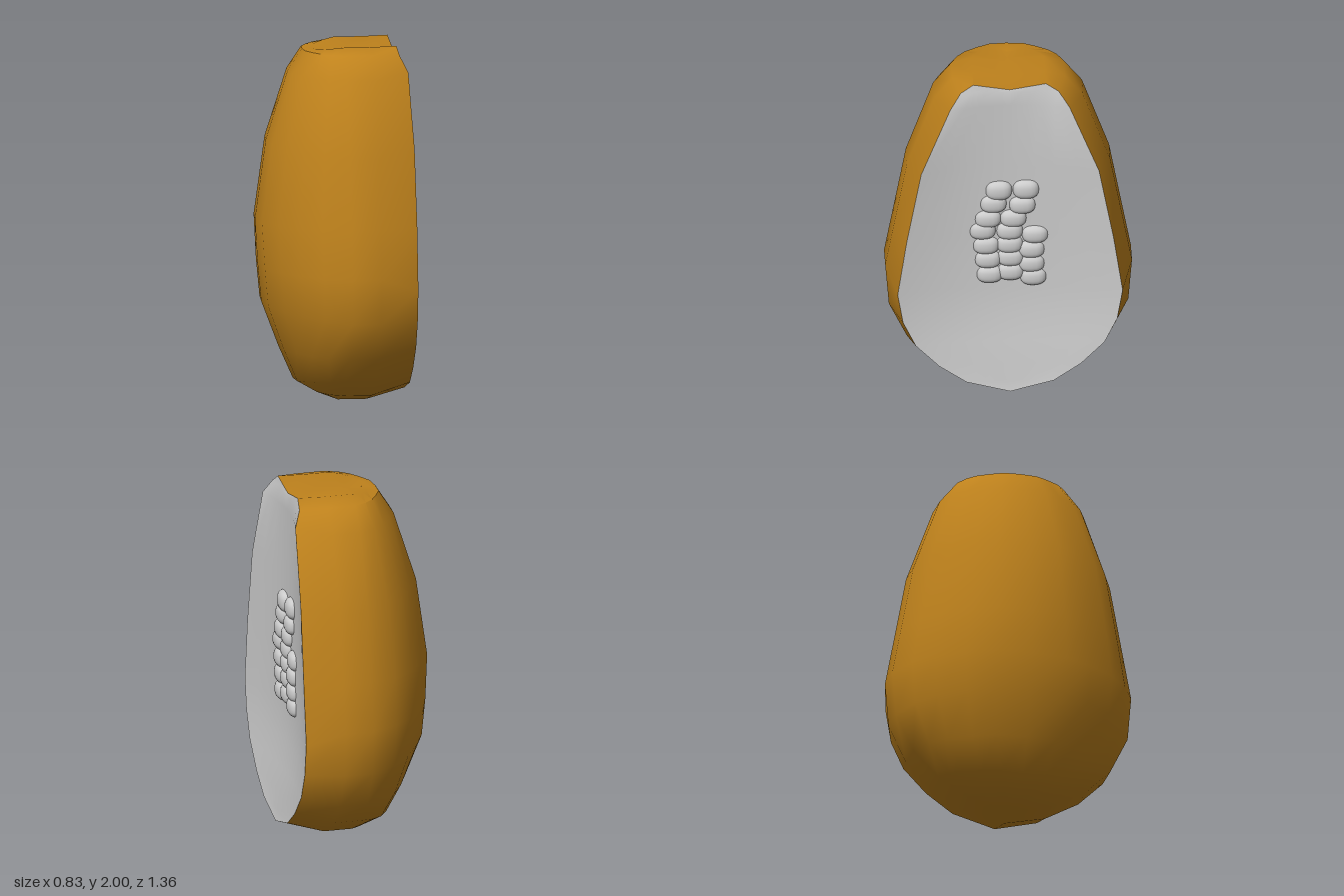
import * as THREE from 'three';
import { toCreasedNormals } from 'three/addons/utils/BufferGeometryUtils.js';

// Levels from bottom to top:
// [widest z, widest y, cut z, cut y, cut x, back x, back y, hollow depth]
const LEVELS = [
  [0, 0.005, 0, 0.065, 0.41, 0.04, 0.005, 0],
  [0.23, 0.06, 0.24, 0.13, 0.41, -0.09, 0.06, 0.01],
  [0.42, 0.17, 0.39, 0.235, 0.41, -0.21, 0.13, 0.02],
  [0.56, 0.31, 0.52, 0.37, 0.41, -0.29, 0.31, 0.04],
  [0.66, 0.52, 0.59, 0.52, 0.41, -0.385, 0.56, 0.06],
  [0.68, 0.77, 0.62, 0.70, 0.41, -0.405, 0.77, 0.07],
  [0.63, 1.04, 0.57, 1.04, 0.41, -0.42, 1.02, 0.07],
  [0.56, 1.42, 0.49, 1.47, 0.405, -0.36, 1.46, 0.065],
  [0.41, 1.84, 0.33, 1.87, 0.39, -0.24, 1.84, 0.045],
  [0.31, 1.965, 0.27, 1.955, 0.35, -0.16, 1.965, 0.005],
  [0.2, 1.995, 0.2, 2.0, 0.34, -0.11, 1.97, 0],
  [0, 1.965, 0, 1.965, 0.34, -0.08, 1.965, 0],
];
// Rounded back of a section: [fraction of depth, fraction of half width]
const BACK = [[0, 1], [0.34, 0.89], [0.59, 0.74], [0.8, 0.52], [0.965, 0.3], [1, 0]];

// Joins rows of points into a surface
function gridGeometry(rows) {
  const n = rows[0].length, index = [];
  for (let i = 0; i < rows.length - 1; i++) {
    for (let j = 0; j < n - 1; j++) {
      const a = i * n + j, b = a + n;
      index.push(a, b, a + 1, b, b + 1, a + 1);
    }
  }
  const geo = new THREE.BufferGeometry();
  geo.setAttribute('position', new THREE.Float32BufferAttribute(rows.flat(2), 3));
  geo.setIndex(index);
  return toCreasedNormals(geo, 0.75);
}

// One rind section: half outline, mirrored across z
function rindRow([w, y, cz, cy, cx, bx, by]) {
  const half = [[cx, cy, cz], [0.2, y, w]];
  for (const [f, k] of BACK) {
    half.push([THREE.MathUtils.lerp(0.04, bx, f), THREE.MathUtils.lerp(y, by, f), w * k]);
  }
  const other = half.slice(0, -1).reverse().map(([x, py, z]) => [x, py, -z]);
  return [...half, ...other];
}

// One row across the gently hollowed cut face
function fleshRow([, , cz, cy, cx, , , depth]) {
  const row = [];
  for (let j = -4; j <= 4; j++) {
    const s = j / 4;
    const dip = cy > 1.99 ? 0.035 * (1 - Math.abs(s)) : 0;
    row.push([cx - depth * (1 - s * s), cy - dip, cz * s]);
  }
  return row;
}

// Seed centres [z, y]
const SEEDS = [
  [0.06, 1.32], [-0.09, 1.325], [0.09, 1.235], [-0.07, 1.225],
  [0.12, 1.14], [-0.02, 1.14], [0.15, 1.065], [0, 1.06], [-0.14, 1.035],
  [0.13, 0.97], [0, 0.975], [-0.12, 0.94], [0.12, 0.88], [-0.005, 0.89],
  [-0.12, 0.85], [0.11, 0.785], [-0.005, 0.8], [-0.13, 0.765],
];

// Sphere pushed towards a soft box
function seedGeometry() {
  const geo = new THREE.SphereGeometry(1, 20, 14);
  const p = geo.attributes.position;
  const soft = (v) => Math.sign(v) * Math.pow(Math.abs(v), 0.8);
  for (let i = 0; i < p.count; i++) {
    p.setXYZ(i, p.getX(i), soft(p.getY(i)), soft(p.getZ(i)));
  }
  geo.computeVertexNormals();
  return geo;
}

export function createModel() {
  const group = new THREE.Group();
  group.name = 'halvedFruit';
  const rindMat = new THREE.MeshStandardMaterial({ color: 0xbf821c });
  const grey = new THREE.MeshStandardMaterial({ color: 0xcccccc });

  const rind = new THREE.Mesh(gridGeometry(LEVELS.map(rindRow)), rindMat);
  rind.name = 'rind';
  const flesh = new THREE.Mesh(gridGeometry(LEVELS.slice(0, -1).map(fleshRow)), grey);
  flesh.name = 'cutFlesh';
  group.add(rind, flesh);

  // Cluster of seeds in the hollow
  const seeds = new THREE.Group();
  seeds.name = 'seeds';
  const geo = seedGeometry();
  for (const [z, y] of SEEDS) {
    const seed = new THREE.Mesh(geo, grey);
    seed.name = 'seed';
    seed.position.set(0.337, y, z);
    seed.scale.set(0.042, y > 1.3 ? 0.06 : 0.055, 0.073);
    seeds.add(seed);
  }
  group.add(seeds);
  return group;
}
